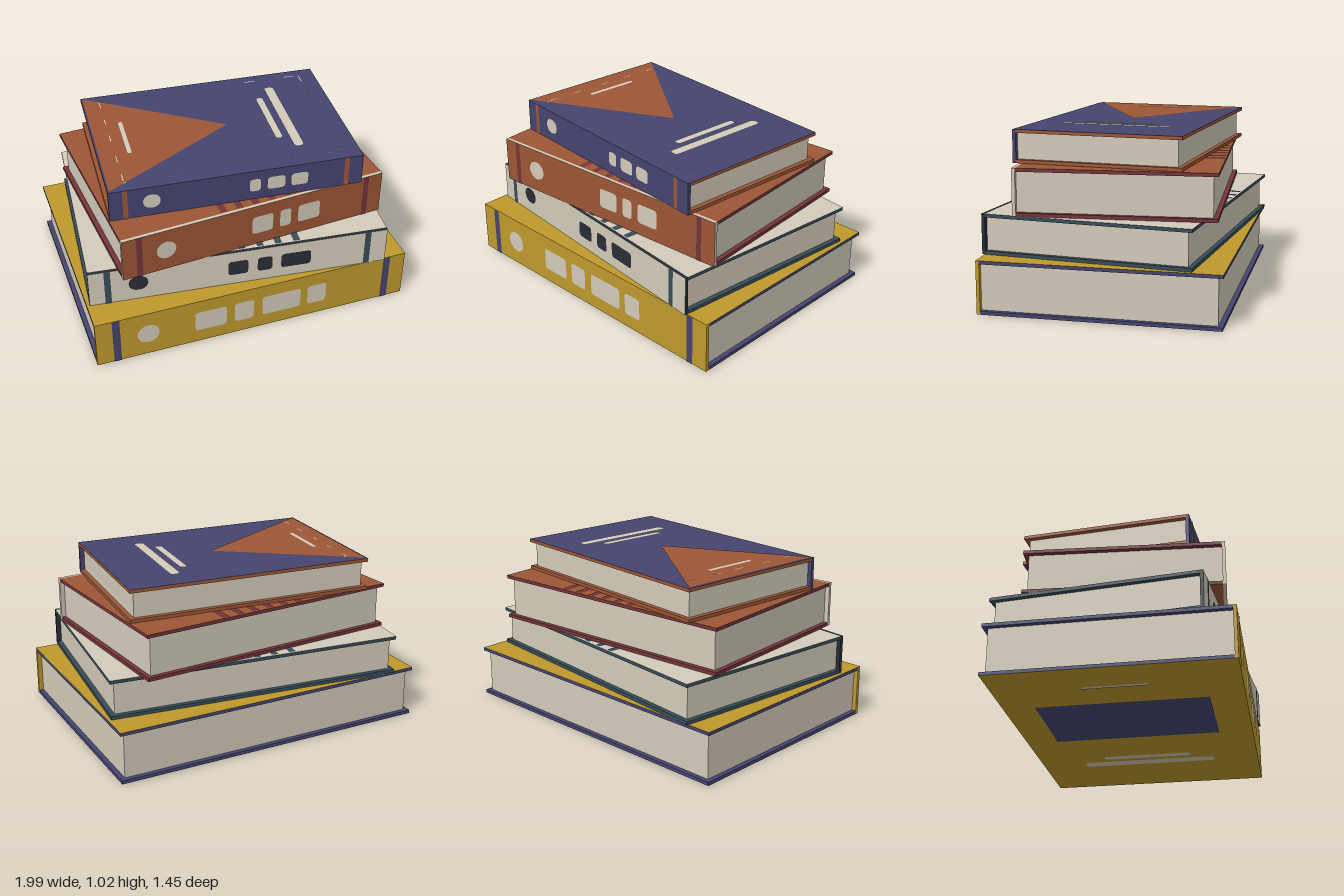
import * as THREE from 'three';

const paint = (name, color) => Object.assign(new THREE.MeshStandardMaterial({ color }), { name });
const M = {
  yellow: paint('mustard', 0xbf992d),
  blue: paint('indigo', 0x45446f),
  orange: paint('rust', 0x9c5635),
  cream: paint('cream', 0xd3cbba),
  teal: paint('dark teal', 0x364c58),
  maroon: paint('maroon', 0x74343a),
  ink: paint('ink', 0x2b2d38),
};
const COVER = 0.02, SPINE = 0.02, INSET = 0.028, LIFT = 0.003;

function add(parent, name, geometry, material) {
  const mesh = new THREE.Mesh(geometry, material);
  mesh.name = name;
  parent.add(mesh);
  return mesh;
}

function box(parent, name, material, size, pos) {
  const mesh = add(parent, name, new THREE.BoxGeometry(...size), material);
  mesh.position.set(...pos);
  return mesh;
}

// Flat rounded plate centred on (x, y) in the parent's plane
function plate(parent, name, material, x, y, w, h, r = 0) {
  const s = new THREE.Shape(), a = w / 2, b = h / 2;
  if (r > 0) {
    s.absarc(a - r, b - r, r, 0, Math.PI / 2);
    s.absarc(r - a, b - r, r, Math.PI / 2, Math.PI);
    s.absarc(r - a, r - b, r, Math.PI, Math.PI * 1.5);
    s.absarc(a - r, r - b, r, Math.PI * 1.5, Math.PI * 2);
  } else {
    s.moveTo(-a, -b).lineTo(a, -b).lineTo(a, b).lineTo(-a, b);
  }
  const mesh = add(parent, name, new THREE.ShapeGeometry(s, 6), material);
  mesh.position.set(x, y, 0);
  return mesh;
}

// Three title bars across a cover: [x, length, width]
function titleBars(face, bars) {
  for (const [x, length, width, y = 0] of bars) plate(face, 'coverTitleBar', M.cream, x, y, width, length, width * 0.4);
}

function makeBook(b) {
  const { w, d, h } = b;
  const book = new THREE.Group();
  book.name = b.name;
  book.position.set(0, b.y, -0.005);
  book.rotation.y = b.turn;

  // Boards, coloured outside with contrasting edges
  const boardZ = -SPINE / 2, boardD = d - SPINE;
  const faces = (top, bottom) => [b.edge, b.edge, top, bottom, b.edge, b.edge];
  box(book, 'topCover', faces(b.cover, b.edge), [w, COVER, boardD], [0, h - COVER / 2, boardZ]);
  box(book, 'bottomCover', faces(b.edge, b.cover), [w, COVER, boardD], [0, COVER / 2, boardZ]);

  // Page block and spine
  box(book, 'pages', M.cream, [w - 2 * INSET, h - 2 * COVER, boardD - INSET], [0, h / 2, boardZ + INSET / 2]);
  box(book, 'spine', [b.spineSide, b.spineSide, b.spineSide, b.spineSide, b.cover, b.spineSide],
    [w, h, SPINE], [0, h / 2, d / 2 - SPINE / 2]);

  // Spine bands, emblem and title blocks
  const front = new THREE.Group();
  front.name = 'spineDecoration';
  front.position.set(0, h / 2, d / 2 + LIFT);
  book.add(front);
  for (const x of b.bands) plate(front, 'spineBand', b.edge, x, 0, b.bandWidth, h);
  plate(front, 'spineEmblem', b.mark, b.emblem[0], b.markY, b.emblem[1] * 2, b.emblem[2] * 2, b.emblem[2] * 0.99);
  for (const [x0, x1] of b.blocks) plate(front, 'spineTitleBlock', b.mark, (x0 + x1) / 2, b.markY, x1 - x0, b.blockH, 0.02);

  // Cover decoration
  const top = new THREE.Group();
  top.name = 'topDecoration';
  top.position.y = h + LIFT;
  top.rotation.x = -Math.PI / 2;
  const bottom = new THREE.Group();
  bottom.name = 'bottomDecoration';
  bottom.position.y = -LIFT;
  bottom.rotation.x = Math.PI / 2;
  book.add(top, bottom);
  b.decorate?.(top, bottom, b);
  return book;
}

// Six parallel stripes running from back to front
function stripes(top, bottom, { w, d, edge }) {
  for (let i = 0; i < 6; i++) plate(top, 'coverStripe', edge, w * (-0.117 + 0.0615 * i), 0.008, 0.04, d - 0.03);
}

function panelAndBars(top, bottom) {
  plate(bottom, 'coverPanel', M.blue, -0.21, -0.005, 0.56, 1.0);
  titleBars(bottom, [[0.52, 0.84, 0.07], [0.415, 0.55, 0.05], [-0.72, 0.39, 0.03]]);
}

function triangleAndBars(top, bottom, { w, d }) {
  const s = new THREE.Shape();
  s.moveTo(-w / 2 + 0.01, -d / 2 + 0.01).lineTo(0.06, 0).lineTo(-w / 2 + 0.01, d / 2 - 0.01);
  add(top, 'coverTriangle', new THREE.ShapeGeometry(s), M.orange);
  const front = new THREE.Group();
  front.name = 'coverTitle';
  front.position.z = 0.002;
  top.add(front);
  titleBars(front, [[0.415, 0.66, 0.06, 0.01], [0.325, 0.45, 0.045, 0.01], [-0.555, 0.33, 0.025, 0.01]]);
  // Fine broken border line
  for (const side of [-1, 1]) {
    for (const t of [-0.38, -0.2, 0.02, 0.2, 0.39]) plate(front, 'borderDash', M.cream, side * 0.64, t, 0.006, 0.06);
    for (const t of [-0.61, -0.35, 0.32, 0.58]) plate(front, 'borderDash', M.cream, t, side * 0.43, 0.07, 0.006);
  }
}

export function createModel() {
  const stack = new THREE.Group();
  stack.name = 'bookStack';
  const books = [
    {
      name: 'yellowBook', y: 0.003, w: 1.946, h: 0.311, d: 1.39, turn: 0.0334,
      cover: M.yellow, edge: M.blue, spineSide: M.yellow, mark: M.cream,
      bands: [-0.85, 0.85], bandWidth: 0.045, emblem: [-0.66, 0.066, 0.066], markY: 0.002, blockH: 0.14,
      blocks: [[-0.375, -0.18], [-0.13, -0.01], [0.045, 0.29], [0.335, 0.455]], decorate: panelAndBars,
    },
    {
      name: 'creamBook', y: 0.315, w: 1.79, h: 0.235, d: 1.238, turn: -0.071,
      cover: M.cream, edge: M.teal, spineSide: M.ink, mark: M.ink,
      bands: [-0.785, 0.775], bandWidth: 0.037, emblem: [-0.607, 0.057, 0.05], markY: 0.002, blockH: 0.1,
      blocks: [[-0.077, 0.043], [0.1, 0.19], [0.243, 0.425]], decorate: stripes,
    },
    {
      name: 'rustBook', y: 0.55, w: 1.634, h: 0.273, d: 1.151, turn: 0.106,
      cover: M.orange, edge: M.maroon, spineSide: M.cream, mark: M.cream,
      bands: [-0.715, 0.71], bandWidth: 0.034, emblem: [-0.555, 0.058, 0.058], markY: 0.002, blockH: 0.12,
      blocks: [[-0.026, 0.105], [0.15, 0.22], [0.266, 0.407]], decorate: stripes,
    },
    {
      name: 'blueBook', y: 0.825, w: 1.487, h: 0.193, d: 0.996, turn: -0.052,
      cover: M.blue, edge: M.orange, spineSide: M.blue, mark: M.cream,
      bands: [-0.65, 0.645], bandWidth: 0.028, emblem: [-0.5, 0.05, 0.045], markY: 0.002, blockH: 0.083,
      blocks: [[0.066, 0.131], [0.171, 0.276], [0.312, 0.412]], decorate: triangleAndBars,
    },
  ];
  for (const b of books) stack.add(makeBook(b));
  return stack;
}
